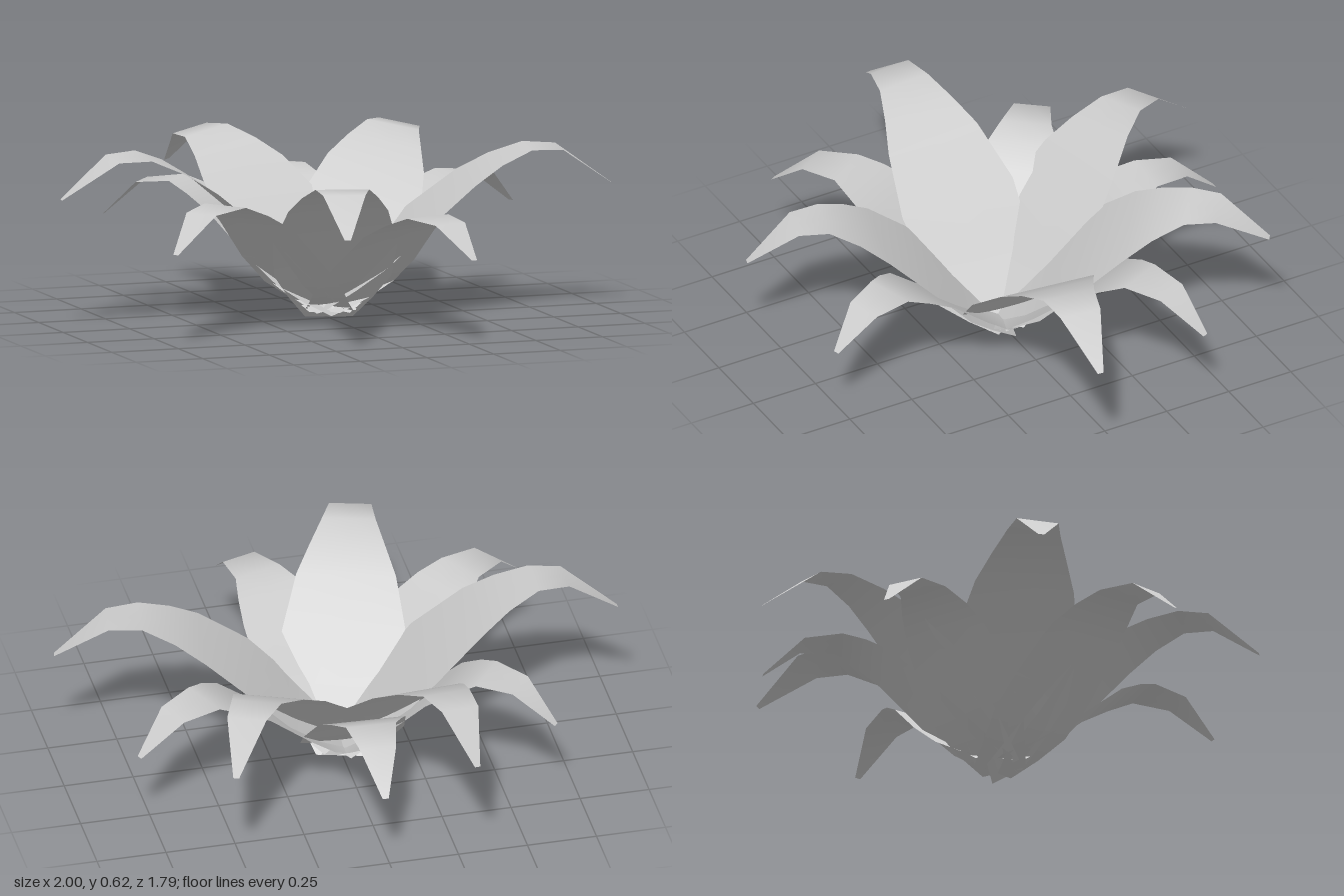
import * as THREE from 'three';

// Cross-sections along a leaf: [fraction of reach, fraction of peak height, fraction of full width]
const BIG = [
  [0.0, 0.0, 0.38], [0.1, 0.15, 0.68], [0.2, 0.31, 0.94], [0.33, 0.55, 1.0], [0.5, 0.8, 0.8],
  [0.6, 0.91, 0.61], [0.71, 0.99, 0.43], [0.82, 0.98, 0.34], [1.0, 0.74, 0.05],
];
const SMALL = [
  [0.0, 0.0, 0.48], [0.1, 0.11, 0.72], [0.2, 0.25, 0.95], [0.33, 0.48, 1.0], [0.5, 0.8, 0.87],
  [0.6, 0.92, 0.7], [0.69, 1.0, 0.5], [0.84, 0.97, 0.36], [1.0, 0.69, 0.06],
];

// Tip x, tip z, peak height, base height, sideways lean
const bigLeaves = [
  [-0.285, -0.895, 0.6, 0.04, -0.16],
  [0.56, -0.77, 0.6, 0.04, 0.16],
  [1.0, 0.155, 0.6, 0.04, 0.03],
  [-0.255, 0.885, 0.56, 0.0, 0.0],
  [-1.0, -0.02, 0.62, 0.04, -0.07],
];
const smallLeaves = [
  [0.035, -0.84, 0.47, 0.03, 0.0],
  [0.815, -0.37, 0.46, 0.03, 0.0],
  [0.25, 0.805, 0.43, 0.03, 0.0],
  [-0.76, 0.5, 0.475, 0.02, 0.0],
  [-0.66, -0.515, 0.475, 0.02, 0.0],
];

// A thin blade: three points across each section, bent along its arching profile
function leafGeometry([tipX, tipZ, peak, base, lean], sections, width) {
  const reach = Math.hypot(tipX, tipZ);
  const dx = tipX / reach, dz = tipZ / reach;
  const start = -0.035;
  const tipRise = sections[sections.length - 1][1];
  const pos = [], index = [];
  sections.forEach(([t, h, w], i) => {
    const r = start + (reach - start) * t;
    const y = base + (peak - base) * h;
    // A leaning leaf bows to one side, and that side hangs lower
    const bow = lean * (peak - base) * (h - t * tipRise);
    for (let j = -1; j <= 1; j++) {
      const across = j * w * width / 2;
      const s = bow + across;
      pos.push(dx * r - dz * s, y - lean * across, dz * r + dx * s);
    }
    if (i === 0) return;
    for (let j = 0; j < 2; j++) {
      const a = (i - 1) * 3 + j, b = a + 3;
      index.push(a, a + 1, b, a + 1, b + 1, b);
    }
  });
  const g = new THREE.BufferGeometry();
  g.setAttribute('position', new THREE.Float32BufferAttribute(pos, 3));
  g.setIndex(index);
  g.computeVertexNormals();
  return g;
}

export function createModel() {
  const model = new THREE.Group();
  model.name = 'leafyPlant';
  const material = new THREE.MeshStandardMaterial({ color: 0xcccccc, side: THREE.DoubleSide });

  const addRing = (name, leaves, sections, width) => {
    const ring = new THREE.Group();
    ring.name = name + 'Ring';
    leaves.forEach((leaf, i) => {
      const mesh = new THREE.Mesh(leafGeometry(leaf, sections, width), material);
      mesh.name = name + (i + 1);
      ring.add(mesh);
    });
    model.add(ring);
  };

  // Tall inner leaves, then the lower leaves in the gaps between them
  addRing('upperLeaf', bigLeaves, BIG, 0.44);
  addRing('lowerLeaf', smallLeaves, SMALL, 0.36);
  return model;
}
